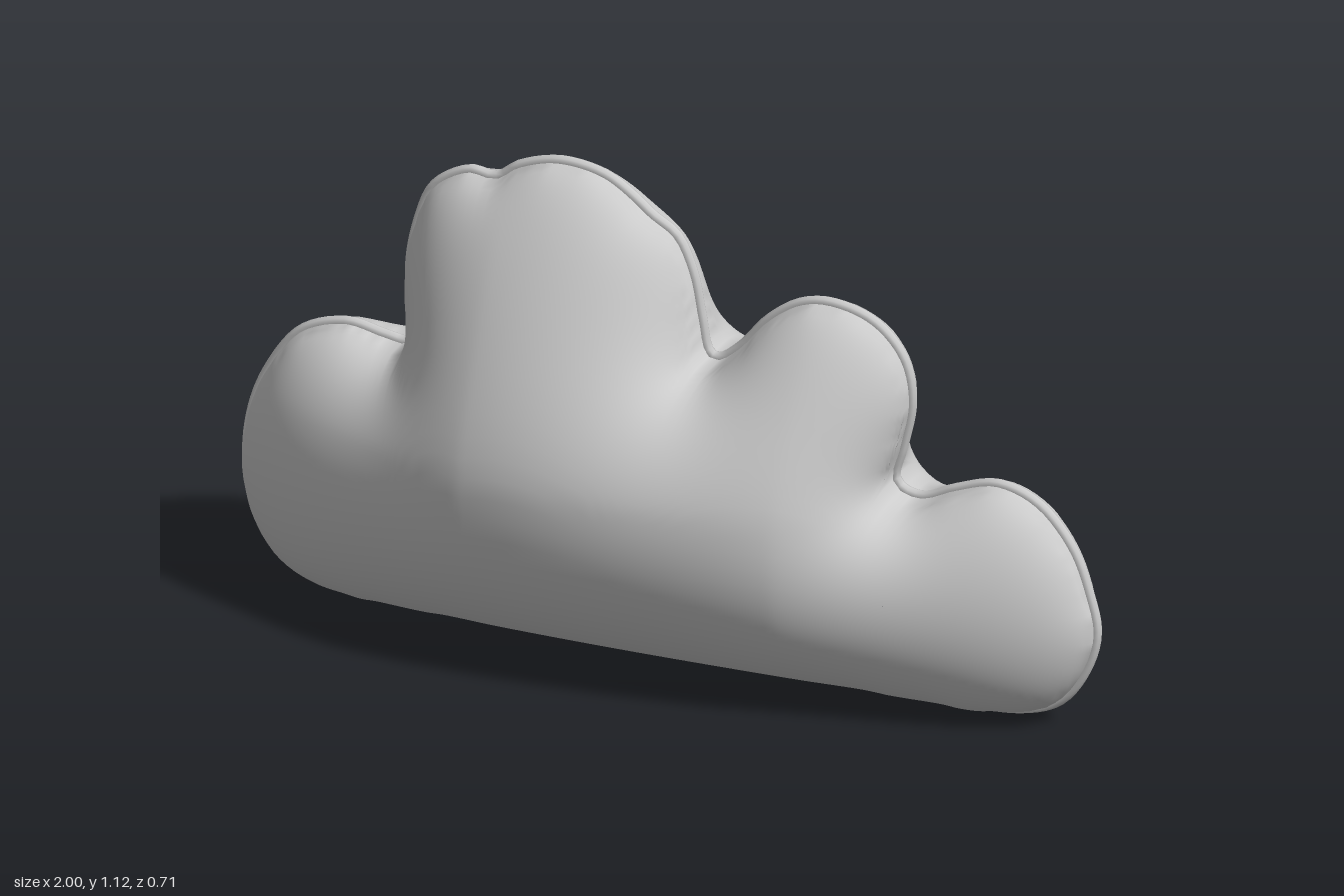
import * as THREE from 'three';

// Outline control points, clockwise: x, y and the x of the matching point on the inner spine
const OUTLINE = [
  [-0.8, 0.002, -0.7], [-0.9, 0.04, -0.72], [-0.97, 0.13, -0.735], [-1, 0.25, -0.74], [-0.99, 0.38, -0.74],
  [-0.95, 0.49, -0.73], [-0.87, 0.6, -0.71], [-0.76, 0.643, -0.65], [-0.66, 0.628, -0.57], [-0.61, 0.625, -0.52],
  [-0.605, 0.66, -0.5], [-0.622, 0.78, -0.47], [-0.6, 0.91, -0.43], [-0.56, 1.0, -0.4], [-0.47, 1.055, -0.36],
  [-0.41, 1.05, -0.33], [-0.36, 1.085, -0.3], [-0.26, 1.115, -0.25], [-0.15, 1.1, -0.2], [-0.07, 1.05, -0.15],
  [-0.04, 1.025, -0.13], [0.02, 0.985, -0.1], [0.06, 0.9, -0.07], [0.08, 0.8, -0.04], [0.1, 0.72, 0.02],
  [0.15, 0.75, 0.08], [0.22, 0.83, 0.13], [0.3, 0.885, 0.2], [0.38, 0.897, 0.27], [0.48, 0.867, 0.33],
  [0.55, 0.79, 0.38], [0.57, 0.69, 0.41], [0.55, 0.58, 0.44], [0.533, 0.5, 0.47], [0.58, 0.482, 0.5],
  [0.66, 0.515, 0.54], [0.76, 0.543, 0.6], [0.86, 0.51, 0.66], [0.94, 0.42, 0.7], [0.98, 0.32, 0.725],
  [1, 0.22, 0.73], [0.97, 0.12, 0.725], [0.91, 0.04, 0.72], [0.82, 0.002, 0.7], [0.4, 0.006, 0.36],
  [0, 0.008, 0], [-0.4, 0.005, -0.36],
];
const SPINE_Y = 0.3, DEPTH = 0.357, PIPING = 0.013;
const SEGMENTS = 280, RINGS = 26;

// Pressure field of an inflated membrane pinned along the outline
function inflate(poly) {
  const h = 0.0075, x0 = -1.03, y0 = -0.03, nx = 276, ny = 156;
  const u = new Float64Array(nx * ny), cells = [];
  for (let j = 1; j < ny - 1; j++) for (let i = 1; i < nx - 1; i++) {
    const x = x0 + i * h, y = y0 + j * h;
    let inside = false;
    for (let a = 0, b = poly.length - 1; a < poly.length; b = a++) {
      const p = poly[a], q = poly[b];
      if ((p.y > y) !== (q.y > y) && x < p.x + (y - p.y) * (q.x - p.x) / (q.y - p.y)) inside = !inside;
    }
    if (inside) cells.push(j * nx + i);
  }
  for (let pass = 0; pass < 500; pass++) {
    for (const c of cells) {
      u[c] += 1.93 * ((u[c - 1] + u[c + 1] + u[c - nx] + u[c + nx] + h * h) / 4 - u[c]);
    }
  }
  const peak = u.reduce((m, v) => Math.max(m, v), 0);
  return (x, y) => {
    const gx = THREE.MathUtils.clamp((x - x0) / h, 0, nx - 1.001);
    const gy = THREE.MathUtils.clamp((y - y0) / h, 0, ny - 1.001);
    const i = Math.floor(gx), j = Math.floor(gy), fx = gx - i, fy = gy - j, c = j * nx + i;
    return ((u[c] * (1 - fx) + u[c + 1] * fx) * (1 - fy) + (u[c + nx] * (1 - fx) + u[c + nx + 1] * fx) * fy) / peak;
  };
}

// The filling thins out toward the upper lobes and both ends
function thickness(x, y) {
  const up = Math.max(0, y - 0.47), out = Math.max(0, Math.abs(x) - 0.35);
  return DEPTH / (1 + 1.12 * Math.pow(up, 1.5)) / (1 + 0.65 * Math.pow(out, 1.3));
}

// One puffed half: rings run from the seam inward to the spine
function panelGeometry(points, depthSquared, side) {
  const pos = [], nor = [], index = [], e = 0.013, n = new THREE.Vector3();
  for (let i = 0; i <= RINGS; i++) {
    const t = Math.pow(i / RINGS, 1.7);
    for (const p of points) {
      const x = p.x + (p.z - p.x) * t, y = p.y + (SPINE_Y - p.y) * t;
      const z = i === 0 ? 0 : Math.sqrt(depthSquared(x, y));
      pos.push(x, y, z * side);
      n.set(
        (depthSquared(x - e, y) - depthSquared(x + e, y)) / (2 * e),
        (depthSquared(x, y - e) - depthSquared(x, y + e)) / (2 * e),
        (2 * z + 1e-5) * side,
      ).normalize();
      nor.push(n.x, n.y, n.z);
    }
  }
  for (let i = 0; i < RINGS; i++) for (let j = 0; j < SEGMENTS; j++) {
    const next = (j + 1) % SEGMENTS;
    const a = i * SEGMENTS + j, b = i * SEGMENTS + next, c = a + SEGMENTS, d = b + SEGMENTS;
    if (side > 0) index.push(a, c, b, b, c, d);
    else index.push(a, b, c, b, d, c);
  }
  const g = new THREE.BufferGeometry();
  g.setAttribute('position', new THREE.Float32BufferAttribute(pos, 3));
  g.setAttribute('normal', new THREE.Float32BufferAttribute(nor, 3));
  g.setIndex(index);
  return g;
}

export function createModel() {
  const group = new THREE.Group();
  group.name = 'cloudCushion';
  const material = new THREE.MeshStandardMaterial({ color: 0xcccccc });
  const add = (name, geometry) => {
    const mesh = new THREE.Mesh(geometry, material);
    mesh.name = name;
    group.add(mesh);
  };

  // Seam line, moved inward by the piping radius; z carries the spine position
  const curve = new THREE.CatmullRomCurve3(OUTLINE.map((p) => new THREE.Vector3(...p)), true, 'centripetal');
  const outer = curve.getSpacedPoints(SEGMENTS).slice(0, SEGMENTS);
  const points = outer.map((p, i) => {
    const before = outer[(i + SEGMENTS - 1) % SEGMENTS], after = outer[(i + 1) % SEGMENTS];
    const inward = new THREE.Vector2(after.y - before.y, before.x - after.x).setLength(PIPING);
    return new THREE.Vector3(p.x + inward.x, p.y + inward.y, p.z);
  });
  const field = inflate(points);
  const depthSquared = (x, y) => field(x, y) * thickness(x, y) ** 2;

  // Front and back panels
  add('frontPanel', panelGeometry(points, depthSquared, 1));
  add('backPanel', panelGeometry(points, depthSquared, -1));

  // Piping around the seam
  const seam = new THREE.CatmullRomCurve3(points.map((p) => new THREE.Vector3(p.x, p.y, 0)), true);
  add('piping', new THREE.TubeGeometry(seam, SEGMENTS, PIPING, 8, true));
  return group;
}
